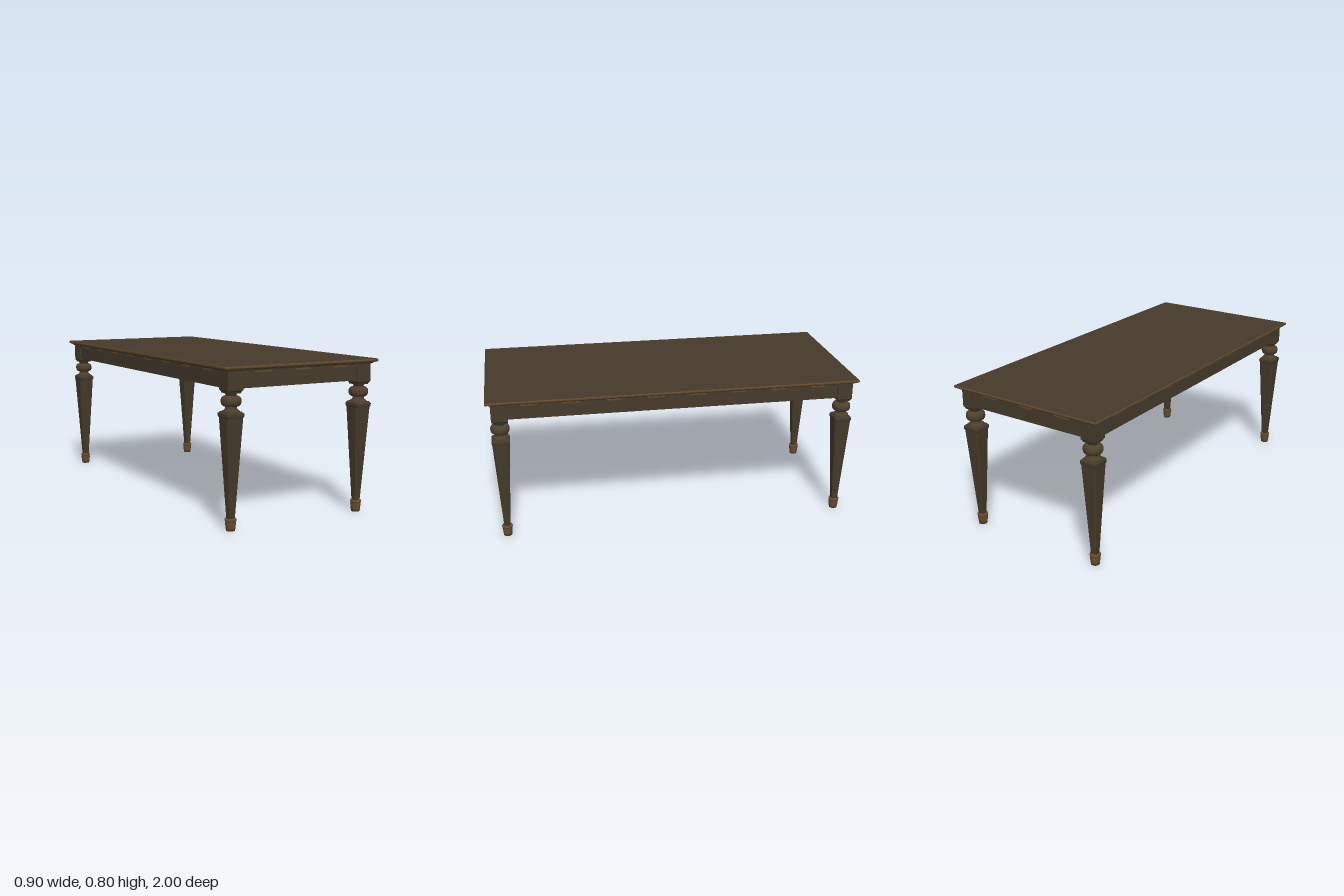
import * as THREE from 'three';

function paint(name, color) {
  const material = new THREE.MeshStandardMaterial({ color });
  material.name = name;
  return material;
}
const wood = paint('dark wood', 0x453a2b);
const rubbed = paint('rubbed wood', 0x4e402c);
const worn = paint('worn wood', 0x654c2e);

// Stacks rectangular sections [y, halfX, halfZ, cornerCut], listed from bottom to top, into a closed solid
function loft(sections) {
  const rings = sections.map(([y, a, b, c]) => [
    [a, b - c], [a, c - b], [a - c, -b], [c - a, -b],
    [-a, c - b], [-a, b - c], [c - a, b], [a - c, b],
  ].map(([x, z]) => new THREE.Vector3(x, y, z)));
  const points = [];
  const n = 8;
  for (let r = 0; r < rings.length - 1; r++) {
    for (let i = 0; i < n; i++) {
      const j = (i + 1) % n;
      const a = rings[r][i], b = rings[r][j], c = rings[r + 1][j], d = rings[r + 1][i];
      points.push(a, b, c, a, c, d);
    }
  }
  const first = rings[0], last = rings[rings.length - 1];
  for (let i = 1; i < n - 1; i++) {
    points.push(last[0], last[i], last[i + 1], first[0], first[i + 1], first[i]);
  }
  const geometry = new THREE.BufferGeometry().setFromPoints(points);
  geometry.computeVertexNormals();
  return geometry;
}

const square = (rows) => loft(rows.map(([y, h, c]) => [y, h, h, c]));

// Turned shape from [radius, y] rows, listed from bottom to top
function turned(rows) {
  return new THREE.LatheGeometry(rows.map(([r, y]) => new THREE.Vector2(r, y)), 28);
}

function add(parent, name, geometry, material, x = 0, y = 0, z = 0) {
  const mesh = new THREE.Mesh(geometry, material);
  mesh.name = name;
  mesh.position.set(x, y, z);
  parent.add(mesh);
  return mesh;
}

function makeLeg() {
  const leg = new THREE.Group();
  // Square block joining the aprons, narrowing underneath
  add(leg, 'cornerBlock', square([
    [0.668, 0.034, 0.001], [0.675, 0.036, 0.001], [0.682, 0.042, 0.001], [0.776, 0.042, 0.001],
  ]), wood);
  // Turned neck with a full, flattened ball
  add(leg, 'upperNeck', turned([[0.026, 0.65], [0.026, 0.662], [0.034, 0.669]]), wood);
  add(leg, 'ball', turned([
    [0.026, 0.604], [0.037, 0.606], [0.044, 0.611], [0.048, 0.618], [0.05, 0.629],
    [0.049, 0.639], [0.046, 0.646], [0.04, 0.652], [0.033, 0.655], [0.026, 0.656],
  ]), rubbed);
  add(leg, 'lowerNeck', turned([
    [0.04, 0.574], [0.042, 0.58], [0.04, 0.585], [0.033, 0.589], [0.029, 0.595], [0.028, 0.606],
  ]), rubbed);
  // Tapered shaft with cut corners and a sloping shoulder
  add(leg, 'shaft', square([
    [0.055, 0.016, 0.003], [0.55, 0.045, 0.008], [0.558, 0.047, 0.003], [0.571, 0.047, 0.003],
    [0.58, 0.039, 0.003],
  ]), wood);
  // Turned foot with a collar
  add(leg, 'foot', turned([
    [0, 0], [0.022, 0], [0.024, 0.014], [0.027, 0.04], [0.024, 0.046], [0.028, 0.049],
    [0.029, 0.055], [0.027, 0.06], [0.016, 0.061], [0, 0.061],
  ]), worn);
  return leg;
}

// One apron with its moulding and worn patches, built facing +z
function makeApron(length, patches) {
  const apron = new THREE.Group();
  add(apron, 'apronBoard', new THREE.BoxGeometry(length, 0.086, 0.014), wood, 0, 0.733, -0.007);
  add(apron, 'apronMoulding', new THREE.BoxGeometry(length, 0.017, 0.01), wood, 0, 0.7675, 0.005);
  const pitch = length / patches;
  for (let i = 0; i < patches; i++) {
    add(apron, 'wornPatch', new THREE.BoxGeometry(pitch * 0.4, 0.007, 0.002), worn,
      (i + 0.5) * pitch - length / 2, 0.768, 0.0098);
  }
  return apron;
}

export function createModel() {
  const table = new THREE.Group();
  table.name = 'diningTable';

  // Top board, its rounded worn edge and the moulding below
  add(table, 'tableTop', loft([[0.798, 0.448, 0.998, 0.001], [0.8, 0.446, 0.996, 0.001]]), wood);
  add(table, 'topEdge', loft([
    [0.783, 0.442, 0.992, 0.001], [0.786, 0.448, 0.998, 0.001], [0.79, 0.45, 1, 0.001],
    [0.795, 0.45, 1, 0.001], [0.798, 0.448, 0.998, 0.001],
  ]), worn);
  add(table, 'topMoulding', loft([
    [0.775, 0.43, 0.98, 0.001], [0.78, 0.432, 0.982, 0.001], [0.783, 0.439, 0.989, 0.001],
  ]), wood);

  for (const s of [1, -1]) {
    const endApron = makeApron(0.68, 3);
    endApron.name = s > 0 ? 'frontApron' : 'backApron';
    endApron.position.z = s * 0.964;
    endApron.rotation.y = s > 0 ? 0 : Math.PI;
    const sideApron = makeApron(1.78, 8);
    sideApron.name = s > 0 ? 'leftApron' : 'rightApron';
    sideApron.position.x = s * 0.412;
    sideApron.rotation.y = s * Math.PI / 2;
    table.add(endApron, sideApron);

    for (const t of [1, -1]) {
      const leg = makeLeg();
      leg.name = (t > 0 ? 'front' : 'back') + (s > 0 ? 'Left' : 'Right') + 'Leg';
      leg.position.set(s * 0.38, 0, t * 0.931);
      table.add(leg);
    }
  }
  return table;
}
